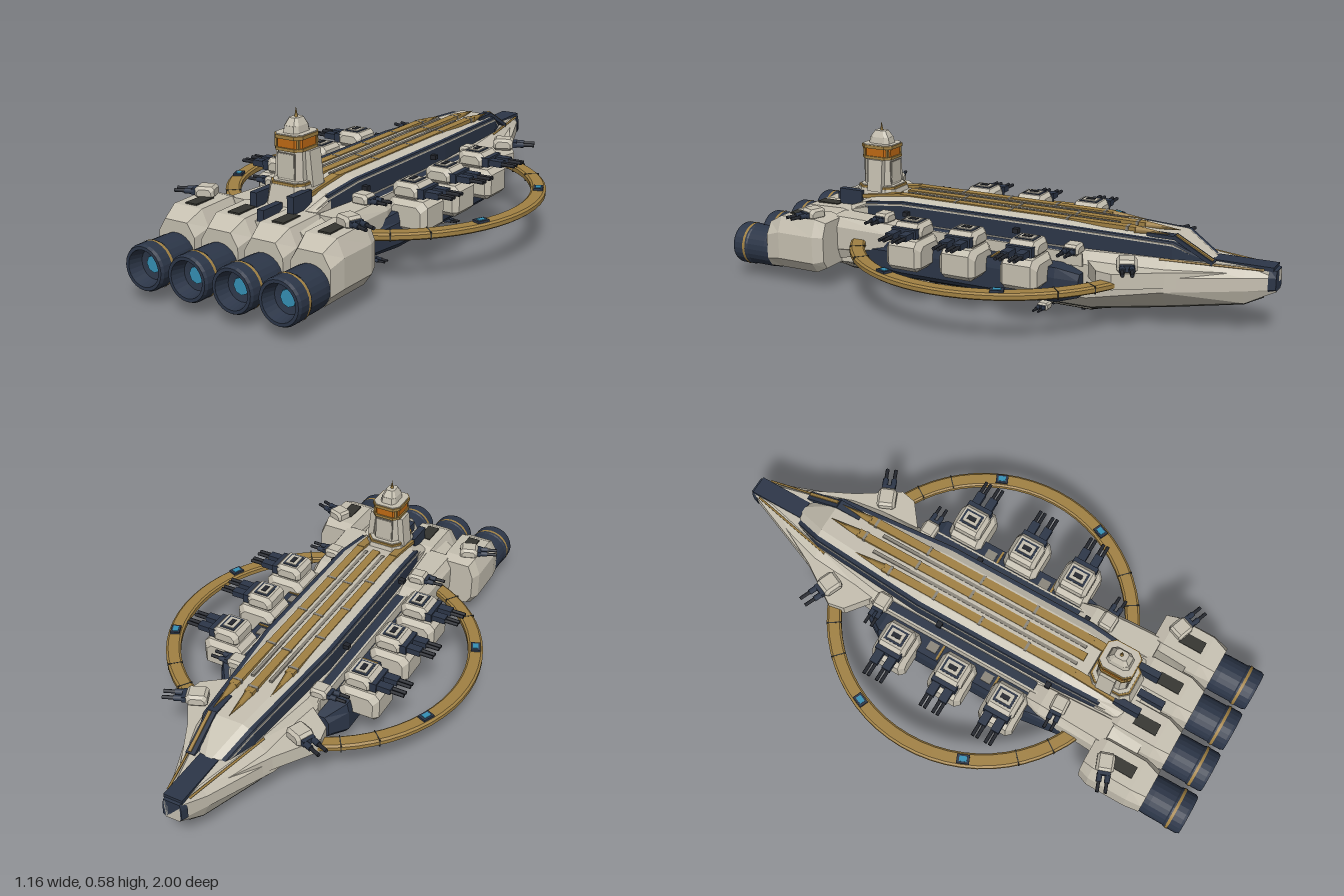
import * as THREE from 'three';

const mat = (name, color) => Object.assign(new THREE.MeshStandardMaterial({ color }), { name });

export function createModel() {
  const ship = new THREE.Group();
  ship.name = 'starship';
  const ivory = mat('ivory hull', 0xc6c0b1), navy = mat('navy armour', 0x2c3648), gold = mat('gold trim', 0xa18143);
  const dark = mat('dark belly', 0x34342f), grey = mat('grey panel', 0x8b867b), blue = mat('blue glow', 0x3590b5);
  const amber = mat('amber windows', 0xc06a14), black = mat('gunmetal', 0x23262d);

  const add = (name, geo, m, x = 0, y = 0, z = 0, parent = ship) => {
    const mesh = new THREE.Mesh(geo, m);
    mesh.name = name;
    mesh.position.set(x, y, z);
    parent.add(mesh);
    return mesh;
  };
  const box = (name, m, w, h, d, x, y, z, parent) => add(name, new THREE.BoxGeometry(w, h, d), m, x, y, z, parent);

  // Eight-sided cross-section: half widths and heights, bottom to top
  const sec = (z, wb, w, wt, yb, y1, y2, yt) =>
    [[wb, yb], [w, y1], [w, y2], [wt, yt], [-wt, yt], [-w, y2], [-w, y1], [-wb, yb]].map(([x, y]) => new THREE.Vector3(x, y, z));
  // Flat-faced skin over cross-sections ordered by rising z
  const loft = (rows) => {
    const pts = [], n = rows[0].length, last = rows.length - 1;
    for (let s = 0; s < last; s++) for (let i = 0; i < n; i++) {
      const j = (i + 1) % n, a = rows[s][i], b = rows[s][j], c = rows[s + 1][j], d = rows[s + 1][i];
      pts.push(a, b, c, a, c, d);
    }
    for (let i = 1; i < n - 1; i++) {
      pts.push(rows[0][0], rows[0][i + 1], rows[0][i], rows[last][0], rows[last][i], rows[last][i + 1]);
    }
    const g = new THREE.BufferGeometry().setFromPoints(pts);
    g.computeVertexNormals();
    return g;
  };
  // Chamfered block centred on x and z, standing on y = 0
  const block = (w, h, d, c) => loft([
    sec(-d / 2, w / 2 - c, w / 2 - c, w / 2 - 2 * c, c, c, h - 2 * c, h - c),
    sec(-d / 2 + c, w / 2 - c, w / 2, w / 2 - c, 0, c, h - c, h),
    sec(d / 2 - c, w / 2 - c, w / 2, w / 2 - c, 0, c, h - c, h),
    sec(d / 2, w / 2 - c, w / 2 - c, w / 2 - 2 * c, c, c, h - 2 * c, h - c)]);

  // Main hull
  add('hull', loft([
    sec(-1, 0.025, 0.03, 0.03, 0.165, 0.175, 0.215, 0.235),
    sec(-0.9, 0.048, 0.068, 0.04, 0.117, 0.165, 0.21, 0.243),
    sec(-0.65, 0.105, 0.165, 0.1, 0.085, 0.15, 0.2, 0.25),
    sec(-0.38, 0.125, 0.172, 0.14, 0.042, 0.09, 0.21, 0.25),
    sec(0.3, 0.125, 0.172, 0.14, 0.036, 0.09, 0.21, 0.25),
    sec(0.6, 0.13, 0.22, 0.15, 0.042, 0.09, 0.21, 0.26),
    sec(0.74, 0.12, 0.2, 0.15, 0.065, 0.09, 0.21, 0.25)]), ivory);
  add('noseCap', loft([
    sec(-1, 0.025, 0.035, 0.03, 0.168, 0.175, 0.215, 0.238),
    sec(-0.975, 0.03, 0.043, 0.032, 0.16, 0.172, 0.215, 0.242)]), navy);
  box('noseStripe', navy, 0.07, 0.014, 0.21, 0, 0.243, -0.885);
  // Thin dark plating under the nose and hull
  add('bellyPlating', loft([
    sec(-0.96, 0.034, 0.035, 0.035, 0.142, 0.143, 0.145, 0.15),
    sec(-0.9, 0.047, 0.048, 0.048, 0.113, 0.114, 0.117, 0.12),
    sec(-0.65, 0.104, 0.105, 0.105, 0.08, 0.082, 0.085, 0.09),
    sec(-0.38, 0.12, 0.125, 0.125, 0.036, 0.038, 0.042, 0.045),
    sec(0.3, 0.12, 0.125, 0.125, 0.03, 0.032, 0.036, 0.04),
    sec(0.6, 0.125, 0.13, 0.13, 0.036, 0.038, 0.042, 0.046),
    sec(0.73, 0.115, 0.12, 0.12, 0.059, 0.061, 0.065, 0.068)]), dark);

  // Raised deck with upright navy flanks and a sloping ivory roof
  const roof = [[-0.79, 0.05, 0.247], [-0.66, 0.095, 0.318], [-0.2, 0.13, 0.333], [0.38, 0.13, 0.333], [0.54, 0.12, 0.312], [0.66, 0.1, 0.262]];
  add('deckFlanks', loft(roof.slice(0, 5).map(([z, w, y]) => sec(z, w + 0.006, w + 0.004, w, 0.22, 0.24, y - 0.024, y - 0.01))), navy);
  add('deckRoof', loft(roof.map(([z, w, y]) => sec(z, w - 0.01, w + 0.004, w - 0.04, y - 0.03, y - 0.024, y - 0.018, y))), ivory);
  add('aftDeck', loft([
    sec(0.53, 0.12, 0.126, 0.11, 0.22, 0.24, 0.285, 0.306),
    sec(0.66, 0.11, 0.12, 0.09, 0.22, 0.235, 0.25, 0.26)]), ivory);

  // Gold deck rails with spear tips: x, tip z, tail z
  for (const [x, z0, z1] of [[-0.07, -0.5, 0.65], [0, -0.65, 0.45], [0.067, -0.64, 0.65]]) {
    const tail = Math.min(z1, 0.42), l = tail - z0 - 0.12;
    box('deckRail', gold, 0.031, 0.014, l, x, 0.33, tail - l / 2);
    if (z1 > 0.5) box('railTail', gold, 0.031, 0.014, 0.2, x, 0.318, 0.515).rotation.x = 0.14;
    add('railTip', new THREE.ConeGeometry(0.016, 0.13, 6), gold, x, 0.325, z0 + 0.06).rotation.x = -Math.PI / 2;
    for (let k = 0; k < 4; k++) box('railClamp', grey, 0.036, 0.016, 0.01, x, 0.33, z0 + 0.15 + k * l / 4.2);
  }
  for (const x of [-0.035, 0.035]) box('deckRib', grey, 0.012, 0.008, 0.85, x, 0.331, -0.02);
  // Navy boom leading down the roof slope, with its gold line
  const slope = Math.atan2(0.071, 0.13);
  box('boom', navy, 0.034, 0.014, 0.16, 0.062, 0.283, -0.725).rotation.x = -slope;
  box('boomStripe', gold, 0.012, 0.008, 0.15, 0.066, 0.29, -0.728).rotation.x = -slope;
  box('boomRoot', navy, 0.036, 0.012, 0.1, 0.063, 0.318, -0.61);

  // Gun turret; barrels point along local +x
  const turret = (x, y, z, turn, s = 1, flip = false) => {
    const g = new THREE.Group();
    g.name = 'turret';
    add('turretBody', block(0.075, 0.045, 0.07, 0.01), ivory, 0, 0, 0, g);
    box('turretMantlet', navy, 0.02, 0.022, 0.05, 0.042, 0.022, 0, g);
    for (const dz of [-0.016, 0.016]) {
      add('gunBarrel', new THREE.CylinderGeometry(0.007, 0.007, 0.08, 8), black, 0.08, 0.022, dz, g).rotation.z = -Math.PI / 2;
      add('gunSleeve', new THREE.CylinderGeometry(0.011, 0.011, 0.035, 8), navy, 0.062, 0.022, dz, g).rotation.z = -Math.PI / 2;
    }
    g.position.set(x, y, z);
    g.scale.setScalar(s);
    g.rotation.set(flip ? Math.PI : 0, turn, 0);
    ship.add(g);
  };

  for (const s of [-1, 1]) {
    const face = s > 0 ? 0 : Math.PI; // turn outward
    // Forward shoulder wings
    const wing = new THREE.Shape([[0.03, -0.93], [0.165, -0.66], [0.262, -0.51], [0.25, -0.45], [0.16, -0.38], [0.05, -0.4]]
      .map(([x, z]) => new THREE.Vector2(s * x, z)));
    const wingGeo = new THREE.ExtrudeGeometry(wing, { depth: 0.055, bevelEnabled: false });
    wingGeo.rotateX(Math.PI / 2);
    add('shoulderWing', wingGeo, ivory, 0, 0.222, 0);
    add('noseTrim', new THREE.TubeGeometry(new THREE.LineCurve3(
      new THREE.Vector3(s * 0.04, 0.239, -0.96), new THREE.Vector3(s * 0.11, 0.247, -0.62)), 1, 0.004, 6), gold);

    // Navy side bay
    add('sideBay', loft([
      sec(-0.37, 0.03, 0.035, 0.02, 0.1, 0.11, 0.16, 0.18),
      sec(-0.3, 0.065, 0.078, 0.07, 0.085, 0.1, 0.175, 0.21),
      sec(0.31, 0.065, 0.078, 0.07, 0.082, 0.1, 0.175, 0.21),
      sec(0.5, 0.04, 0.05, 0.03, 0.088, 0.1, 0.16, 0.18)]), navy, s * 0.18);
    // Navy walkway beside the deck with an ivory outer wall
    box('walkway', navy, 0.045, 0.04, 0.62, s * 0.152, 0.228, 0);
    box('walkwayWall', ivory, 0.008, 0.045, 0.7, s * 0.178, 0.226, -0.02);
    for (const z of [-0.09, 0.14]) {
      box('bayHatch', grey, 0.035, 0.008, 0.04, s * 0.21, 0.21, z);
      box('bayTrim', gold, 0.06, 0.006, 0.008, s * 0.215, 0.211, z + 0.035);
    }
    // Aft shoulder
    add('aftShoulder', loft([
      sec(0.3, 0.03, 0.04, 0.03, 0.165, 0.175, 0.22, 0.24),
      sec(0.36, 0.04, 0.058, 0.035, 0.15, 0.17, 0.225, 0.258),
      sec(0.62, 0.05, 0.065, 0.045, 0.1, 0.14, 0.23, 0.265)]), ivory, s * 0.178);

    // Broadside gun pods
    for (const z of [-0.205, 0.03, 0.245]) {
      add('gunPod', block(0.155, 0.11, 0.14, 0.018), ivory, s * 0.275, 0.142, z);
      add('podTurret', block(0.105, 0.058, 0.115, 0.014), ivory, s * 0.265, 0.25, z);
      box('podRoofFrame', navy, 0.058, 0.004, 0.072, s * 0.265, 0.308, z);
      box('podRoof', ivory, 0.042, 0.004, 0.056, s * 0.265, 0.311, z);
      box('podHatch', black, 0.018, 0.004, 0.034, s * 0.265, 0.313, z);
      box('podMantlet', navy, 0.03, 0.034, 0.098, s * 0.32, 0.277, z);
      for (const dz of [-0.026, 0.026]) {
        box('podGunSleeve', navy, 0.055, 0.022, 0.032, s * 0.358, 0.276, z + dz);
        for (const e of [-0.009, 0.009]) {
          add('podBarrel', new THREE.CylinderGeometry(0.0065, 0.0065, 0.07, 8), black, s * 0.4, 0.276, z + dz + e).rotation.z = Math.PI / 2;
        }
      }
    }
    // Secondary turrets, turned a little off the beam
    turret(s * 0.2, 0.222, -0.54, face + s * 0.4);
    turret(s * 0.165, 0.24, -0.33, face, 0.85);
    turret(s * 0.18, 0.255, 0.42, face - s * 0.05, 0.85);
    turret(s * 0.285, 0.265, 0.66, face - s * 0.35, 0.9);
    for (const z of [-0.2, 0.3]) turret(s * 0.12, 0.03, z, face, 0.6, true);
    for (const z of [-0.1, 0.35]) box('deckLight', black, 0.03, 0.016, 0.02, s * 0.14, 0.285, z);

    // Engine blocks and nozzles
    for (const x of [0.0875, 0.264]) {
      const ex = s * x;
      add('engineBlock', loft([
        sec(0.59, 0.05, 0.07, 0.05, 0.09, 0.12, 0.21, 0.26),
        sec(0.63, 0.055, 0.084, 0.058, 0.07, 0.11, 0.21, 0.272),
        sec(0.78, 0.055, 0.084, 0.058, 0.07, 0.11, 0.21, 0.268),
        sec(0.84, 0.05, 0.074, 0.046, 0.065, 0.1, 0.19, 0.235)]), ivory, ex);
      box('engineVent', dark, 0.045, 0.008, 0.09, ex, 0.27, 0.72);
      const profile = [[0.06, 0.8], [0.072, 0.82], [0.075, 0.86], [0.075, 0.935], [0.078, 0.94], [0.078, 0.99], [0.073, 1],
        [0.062, 1], [0.052, 0.95], [0.001, 0.94]].map(([r, h]) => new THREE.Vector2(r, h));
      const nozzle = new THREE.LatheGeometry(profile, 24).toNonIndexed();
      nozzle.rotateX(Math.PI / 2);
      nozzle.computeVertexNormals();
      add('nozzle', nozzle, navy, ex, 0.122, 0);
      add('nozzleBand', new THREE.CylinderGeometry(0.08, 0.08, 0.01, 24, 1, true), gold, ex, 0.122, 0.95).rotation.x = Math.PI / 2;
      add('thrusterGlow', new THREE.CylinderGeometry(0.029, 0.029, 0.008, 8), blue, ex, 0.122, 0.949).rotation.x = Math.PI / 2;
    }
  }
  // Navy fins on the aft deck: x, height, base, z
  for (const [x, h, y, z] of [[0.074, 0.08, 0.25, 0.63], [-0.074, 0.07, 0.25, 0.63], [0, 0.055, 0.235, 0.69]]) {
    box('tailFin', navy, 0.026, h, 0.1, x, y + h / 2, z);
  }

  // Flat gold ring around the ship
  const ring = new THREE.LatheGeometry([[0.526, 0.173], [0.533, 0.168], [0.572, 0.168], [0.58, 0.174], [0.58, 0.188],
    [0.572, 0.194], [0.533, 0.194], [0.526, 0.189], [0.526, 0.173]].map(([r, y]) => new THREE.Vector2(r, y)), 64).toNonIndexed();
  ring.computeVertexNormals();
  add('orbitRing', ring, gold);
  for (const s of [-1, 1]) for (const a of [0.4, 0.75, 0.98]) for (const e of [-a, a]) {
    const x = s * 0.553 * Math.cos(e), z = 0.553 * Math.sin(e);
    if (a === 0.4) {
      box('ringBeacon', navy, 0.034, 0.012, 0.046, x, 0.196, z).rotation.y = -s * e;
      box('ringWindow', blue, 0.02, 0.006, 0.028, x, 0.201, z).rotation.y = -s * e;
    } else box('ringSeam', dark, 0.055, 0.0275, 0.004, x, 0.181, z).rotation.y = -s * e;
  }

  // Ventral plate with panel grid
  add('bellyDeck', loft([
    sec(-0.41, 0.06, 0.07, 0.08, 0.022, 0.026, 0.034, 0.042),
    sec(-0.36, 0.075, 0.09, 0.1, 0.012, 0.02, 0.03, 0.042),
    sec(0.42, 0.075, 0.09, 0.1, 0.01, 0.018, 0.028, 0.042),
    sec(0.47, 0.06, 0.07, 0.08, 0.018, 0.022, 0.03, 0.042)]), dark);
  for (let k = 0; k < 7; k++) box('bellyRib', black, 0.15, 0.006, 0.012, 0, 0.01, -0.33 + k * 0.12);
  for (const x of [-0.09, 0.09]) box('bellyRail', grey, 0.008, 0.008, 0.8, x, 0.025, 0.03);
  for (const x of [-0.04, 0.04]) box('bellySeam', black, 0.008, 0.006, 0.78, x, 0.01, 0.03);

  // Command tower, built upward in chamfered square tiers
  const tower = new THREE.Group();
  tower.name = 'commandTower';
  tower.position.z = 0.54;
  ship.add(tower);
  const plan = (y, w, d) => sec(y, w * 0.65, w, w * 0.65, -d, -d * 0.65, d * 0.65, d);
  // Half width, half depth, bottom, top, scale at the top
  const tier = (name, m, w, d, y0, y1, k = 1) => {
    const g = loft([plan(y0, w, d), plan(y1, w * k, d * k)]);
    g.rotateX(-Math.PI / 2);
    add(name, g, m, 0, 0, 0, tower);
  };
  tier('towerFoot', ivory, 0.088, 0.1, 0.24, 0.34, 0.8);
  tier('towerCollar', gold, 0.068, 0.078, 0.338, 0.348);
  tier('towerCollarPlate', ivory, 0.063, 0.072, 0.348, 0.351);
  tier('towerShaft', ivory, 0.052, 0.058, 0.35, 0.45, 0.95);
  for (const s of [-1, 1]) {
    box('towerButtress', ivory, 0.022, 0.12, 0.06, s * 0.062, 0.39, -0.01, tower).rotation.z = s * 0.1;
    box('towerPanelFrame', grey, 0.07, 0.086, 0.004, 0, 0.4, s * 0.057, tower);
    box('towerPanel', ivory, 0.064, 0.08, 0.006, 0, 0.4, s * 0.058, tower);
  }
  tier('towerLowerTrim', gold, 0.056, 0.064, 0.45, 0.46);
  tier('bridgeWindows', amber, 0.051, 0.058, 0.46, 0.49);
  for (const x of [-1, 1]) for (const z of [-1, 1]) box('windowPost', gold, 0.008, 0.034, 0.008, x * 0.044, 0.476, z * 0.05, tower);
  tier('bridgeRoof', gold, 0.057, 0.066, 0.49, 0.502);
  tier('bridgeRoofPlate', ivory, 0.053, 0.062, 0.502, 0.505);
  tier('towerCap', ivory, 0.031, 0.044, 0.505, 0.528, 0.9);
  tier('towerCapTop', ivory, 0.028, 0.038, 0.528, 0.552, 0.6);
  add('towerSpire', new THREE.ConeGeometry(0.008, 0.045, 8), gold, 0, 0.563, 0, tower);

  return ship;
}
